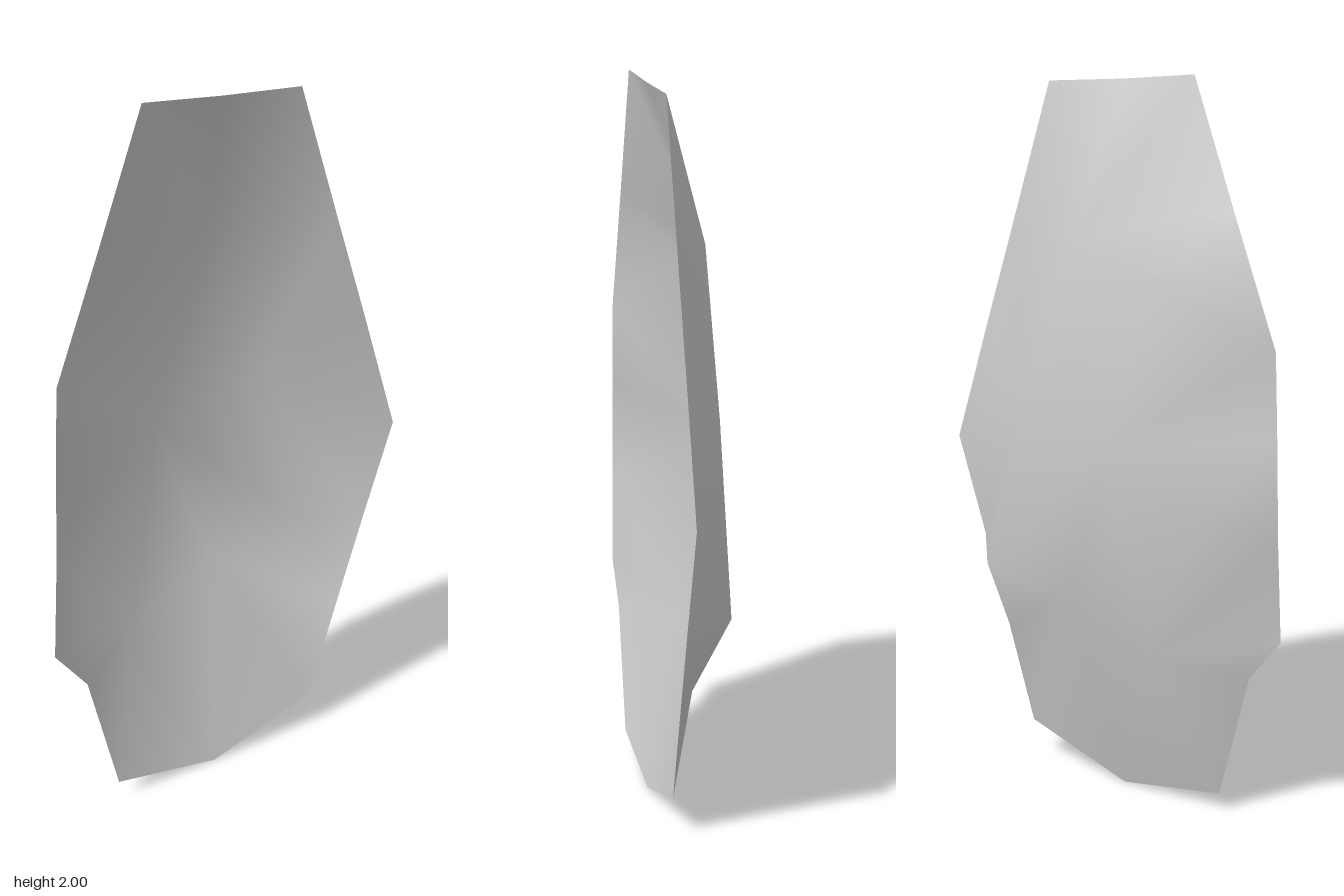
import * as THREE from 'three';

// Outer rim, clockwise from the top left; it lies in one slightly turned plane.
const rim = [
  [-0.26, 2], [-0.03, 1.98], [0.21, 1.965], [0.33, 1.6], [0.44, 1.27], [0.55, 0.93],
  [0.455, 0.65], [0.37, 0.39], [0.28, 0.11], [-0.05, 0], [-0.37, 0.05], [-0.46, 0.41],
  [-0.555, 0.53], [-0.54, 0.8], [-0.53, 1.08], [-0.52, 1.31], [-0.39, 1.65],
];
const rimZ = (x) => 0.077 + 0.087 * x;

// Raised points of the bulging back, numbered on from the rim (17 to 24).
const crown = [
  [0.04, 1.56, -0.065], [-0.26, 1.49, -0.08], [-0.1, 1.03, -0.13], [0.21, 1.12, -0.05],
  [-0.38, 0.87, -0.1], [0.05, 0.58, -0.075], [0.34, 0.62, -0.04], [-0.22, 0.46, -0.085],
];

// Panels facing the back; four-cornered ones split from their first corner.
const panels = [
  // top
  [0, 1, 17, 16], [1, 2, 17], [2, 3, 17], [16, 17, 18],
  // left flank
  [3, 4, 20, 17], [4, 5, 20], [6, 23, 20, 5], [6, 7, 23], [7, 22, 23],
  // bottom
  [7, 8, 22], [8, 9, 22], [9, 24, 22], [9, 10, 24],
  // right flank
  [10, 11, 24], [11, 12, 24], [13, 21, 24, 12], [13, 14, 21],
  [14, 15, 19, 21], [15, 18, 19], [15, 16, 18],
  // middle
  [17, 20, 19, 18], [19, 20, 23, 22], [19, 22, 24, 21],
];

function shellGeometry() {
  const points = [...rim.map(([x, y]) => [x, y, rimZ(x)]), ...crown];
  const index = [];
  for (const p of panels) {
    for (let i = 1; i < p.length - 1; i++) index.push(p[0], p[i], p[i + 1]);
  }
  const geometry = new THREE.BufferGeometry();
  geometry.setAttribute('position', new THREE.Float32BufferAttribute(points.flat(), 3));
  geometry.setIndex(index);
  geometry.computeVertexNormals();
  return geometry;
}

export function createModel() {
  const group = new THREE.Group();
  group.name = 'curvedShell';
  const material = new THREE.MeshStandardMaterial({ color: 0xcccccc, side: THREE.DoubleSide });
  const shell = new THREE.Mesh(shellGeometry(), material);
  shell.name = 'shellPlate';
  group.add(shell);
  return group;
}
